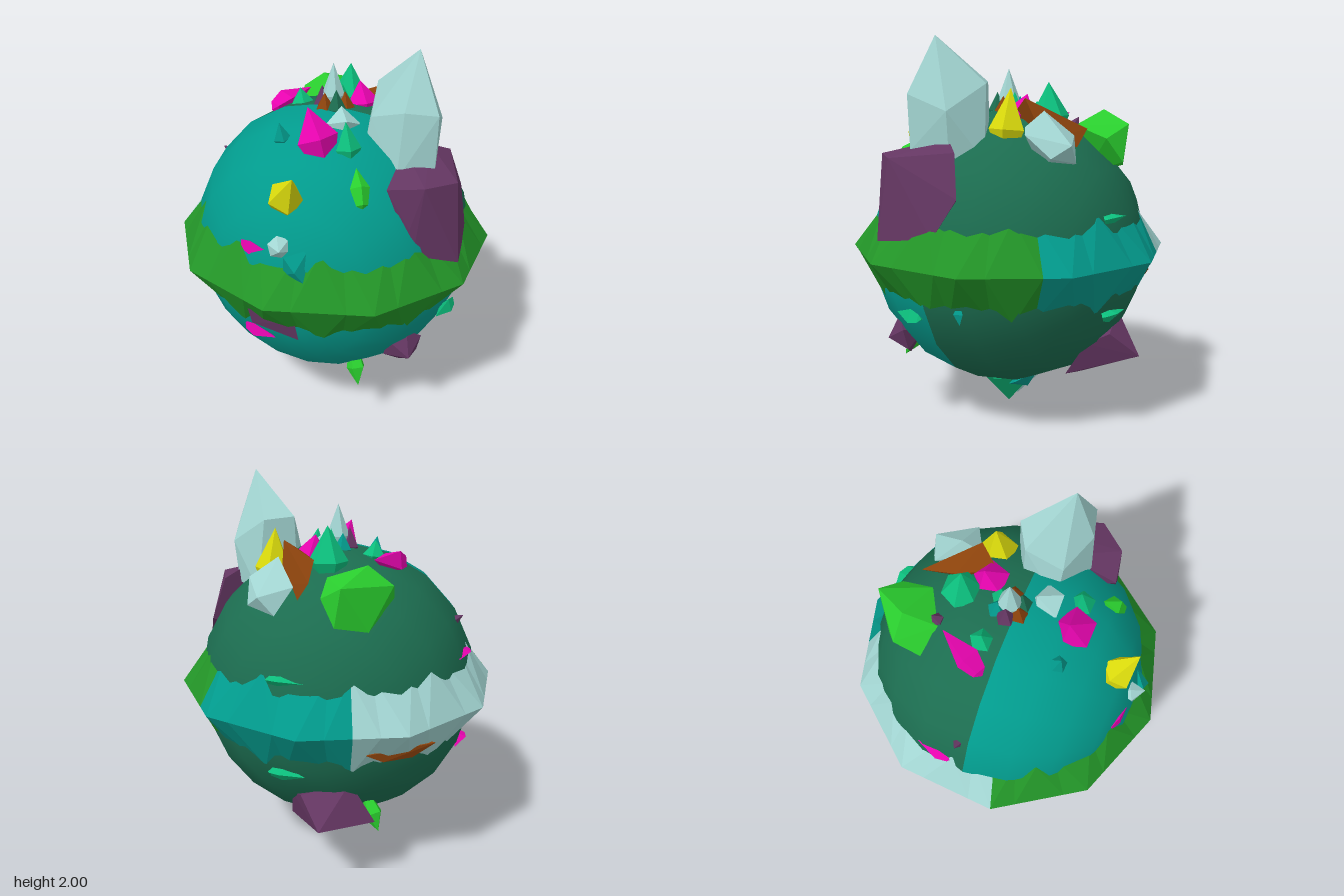
import * as THREE from 'three';
import { ConvexGeometry } from 'three/addons/geometries/ConvexGeometry.js';

const V = (a) => new THREE.Vector3(...a);
const UP = new THREE.Vector3(0, 1, 0);

export function createModel() {
  const model = new THREE.Group();
  const paint = (name, color, flatShading = true) => {
    const m = new THREE.MeshStandardMaterial({ color, flatShading });
    m.name = name;
    return m;
  };
  const teal = paint('teal', 0x029b8d, false);
  const forest = paint('forest green', 0x1c6d50, false);
  const emerald = paint('emerald', 0x0cbf7d);
  const green = paint('leaf green', 0x239628);
  const lime = paint('lime', 0x2ace2e);
  const pale = paint('pale aqua', 0xa3d6d3);
  const plum = paint('plum', 0x643662);
  const magenta = paint('magenta', 0xe804b0);
  const yellow = paint('yellow', 0xdcdc0c);
  const brown = paint('brown', 0x8c430c);

  const add = (name, geometry, material) => {
    const mesh = new THREE.Mesh(geometry, material);
    mesh.name = name;
    model.add(mesh);
    return mesh;
  };
  // Flat normals for crystals that share the smooth teal material
  const facet = (g) => {
    const flat = g.index ? g.toNonIndexed() : g;
    flat.computeVertexNormals();
    return flat;
  };

  // Body: two domes sharing one rim on a slanted vertical plane
  const axis = V([2, 0, -3]).normalize();
  const rim = THREE.MathUtils.degToRad(93);
  for (const [name, mat, from, to] of [['forestDome', forest, 0, rim], ['tealDome', teal, rim, Math.PI]]) {
    const dome = add(name, new THREE.SphereGeometry(0.738, 20, 5, 0, Math.PI * 2, from, to - from), mat);
    dome.quaternion.setFromUnitVectors(UP, axis);
    dome.position.y = 0.91;
  }

  // Faceted ten-sided belt, in three coloured stretches
  const corner = (k, r, y) => V([r * Math.sin(k * Math.PI / 5), y, r * Math.cos(k * Math.PI / 5)]);
  const along = (u, shift, r, y) => {
    const k = Math.floor(u - shift) + shift;
    return corner(k, r, y).lerp(corner(k + 1, r, y), u - k);
  };
  const belt = (name, mat, from, to) => {
    const p = [];
    const tri = (...vs) => vs.forEach((v) => p.push(v.x, v.y, v.z));
    for (let u = from; u < to; u += 0.25) {
      for (const s of [1, -1]) {
        const O = [u, u + 0.25].map((t) => along(t, 0, 0.842, 0.91));
        const I = [u, u + 0.25].map((t) => along(t, 0.5, 0.68, 0.91 + s * 0.25));
        const tris = Math.floor(u * 2) % 2 === 0
          ? [[O[0], O[1], I[1]], [O[0], I[1], I[0]]]
          : [[O[0], O[1], I[0]], [O[1], I[1], I[0]]];
        for (const [a, b, c] of tris) s > 0 ? tri(a, b, c) : tri(a, c, b);
      }
    }
    const g = new THREE.BufferGeometry();
    g.setAttribute('position', new THREE.Float32BufferAttribute(p, 3));
    g.computeVertexNormals();
    add(name, g, mat);
  };
  belt('greenBelt', green, -3, 2.75);
  belt('tealBelt', teal, 2.75, 4.5);
  belt('paleBelt', pale, 4.5, 7);

  // Crystal from a base point to a tip; widest at the given fraction of its length
  const shard = (name, mat, base, tip, r, sides = 5, waist = 0.25, foot = 0.6) => {
    const a = V(base), d = V(tip).sub(a), h = d.length();
    const profile = [[0, -h * 0.2], [r * foot, -h * 0.1], [r, h * waist], [0, h]].map((q) => new THREE.Vector2(...q));
    const mesh = add(name, facet(new THREE.LatheGeometry(profile, sides)), mat);
    mesh.quaternion.setFromUnitVectors(UP, d.normalize());
    mesh.position.copy(a);
  };
  const rock = (name, mat, points) => add(name, facet(new ConvexGeometry(points.map(V))), mat);

  // Large crystals
  rock('tallCrystal', pale, [
    [0.32, 2.0, 0.365], [0.2, 1.78, 0.11], [0.36, 1.77, 0.12], [0.47, 1.64, 0.31], [0.38, 1.72, 0.5],
    [0.23, 1.73, 0.45], [0.12, 1.66, 0.28], [0.08, 1.42, 0.25], [0.19, 1.4, 0.1], [0.4, 1.4, 0.13],
    [0.45, 1.42, 0.3], [0.38, 1.45, 0.49], [0.2, 1.4, 0.46]]);
  rock('plumBoulder', plum, [
    [0.12, 1.41, 0.57], [0.22, 1.22, 0.63], [0.24, 1.08, 0.64], [0.47, 1.02, 0.65], [0.61, 1.05, 0.38],
    [0.62, 1.24, 0.26], [0.54, 1.45, 0.27], [0.42, 1.5, 0.3], [0.28, 1.5, 0.33], [0.28, 1.43, 0.64],
    [0.46, 1.42, 0.59], [0.3, 1.1, 0.3]]);
  rock('limeBoulder', lime, [
    [-0.1, 1.46, -0.46], [-0.04, 1.55, -0.57], [0.06, 1.64, -0.5], [0.24, 1.57, -0.6], [0.29, 1.5, -0.48],
    [0.2, 1.56, -0.34], [0.0, 1.55, -0.35], [0.1, 1.35, -0.6], [0.26, 1.38, -0.57], [0.1, 1.3, -0.4]]);
  rock('plumLowerBackRock', plum, [
    [0.38, 0.3, -0.28], [0.41, 0.47, -0.38], [0.18, 0.58, -0.58], [0.38, 0.39, -0.66], [0.08, 0.38, -0.66],
    [0.2, 0.34, -0.4], [0.35, 0.3, -0.35], [0.41, 0.52, -0.5], [0.15, 0.33, -0.55]]);
  rock('brownRidge', brown, [
    [0.2, 1.62, -0.02], [0.32, 1.7, -0.07], [0.31, 1.55, -0.38], [0.37, 1.5, -0.16],
    [0.22, 1.62, -0.22], [0.35, 1.45, -0.32], [0.25, 1.45, -0.1]]);
  rock('brownBackPatch', brown, [
    [-0.2, 0.8, -0.74], [0.17, 0.8, -0.74], [0.08, 0.75, -0.74], [-0.08, 0.74, -0.73], [0, 0.84, -0.6]]);
  rock('paleSideRock', pale, [
    [0.38, 1.64, -0.16], [0.34, 1.56, -0.07], [0.5, 1.53, -0.06], [0.55, 1.42, -0.18], [0.46, 1.39, -0.31],
    [0.36, 1.52, -0.31], [0.53, 1.48, -0.28], [0.4, 1.35, -0.15]]);
  rock('plumLeftRock', plum, [
    [-0.55, 0.84, 0.53], [-0.5, 0.87, 0.55], [-0.34, 0.78, 0.64], [-0.32, 0.67, 0.63], [-0.53, 0.74, 0.53], [-0.4, 0.75, 0.45]]);

  // Cluster around the top
  shard('topSpike', pale, [0, 1.62, 0], [0, 1.85, 0], 0.06, 6, 0.3);
  for (let i = 0; i < 6; i++) {
    const a = i * Math.PI / 3, x = Math.sin(a), z = Math.cos(a);
    shard('topCluster', [forest, brown, emerald, teal, plum, brown][i],
      [x * 0.06, 1.6, z * 0.06], [x * 0.06, 1.73 - 0.02 * (i % 2), z * 0.06], 0.05);
  }
  shard('topFrontShard', pale, [0, 1.56, 0.2], [0.01, 1.67, 0.13], 0.095);

  // Upper crystals
  shard('magentaFront', magenta, [-0.13, 1.5, 0.31], [-0.18, 1.72, 0.24], 0.105, 5, 0.35);
  shard('emeraldFront', emerald, [-0.01, 1.5, 0.36], [-0.02, 1.67, 0.34], 0.065);
  shard('yellowFront', yellow, [-0.34, 1.33, 0.44], [-0.32, 1.51, 0.57], 0.09);
  shard('limeFront', lime, [0, 1.36, 0.57], [0, 1.49, 0.47], 0.05, 5, 0.4);
  shard('paleFront', pale, [-0.38, 1.16, 0.54], [-0.4, 1.18, 0.63], 0.06, 6);
  rock('tealFront', teal, [
    [-0.38, 1.15, 0.63], [-0.26, 1.17, 0.62], [-0.34, 1.09, 0.68], [-0.28, 1.0, 0.68], [-0.38, 1.04, 0.6], [-0.3, 1.08, 0.55]]);
  shard('tealUpperLeft', teal, [-0.29, 1.52, 0.17], [-0.31, 1.63, 0.18], 0.045);
  shard('yellowRight', yellow, [0.35, 1.48, 0.02], [0.34, 1.75, 0], 0.095);
  shard('emeraldBack', emerald, [0.14, 1.55, -0.21], [0.14, 1.78, -0.2], 0.1, 6);
  shard('magentaTop', magenta, [0.17, 1.57, -0.05], [0.16, 1.72, -0.09], 0.095);
  shard('magentaBack', magenta, [-0.25, 1.57, -0.21], [-0.05, 1.62, -0.33], 0.065, 4);
  shard('emeraldBackLeft', emerald, [-0.13, 1.58, -0.16], [-0.14, 1.68, -0.16], 0.06);
  shard('plumBack', plum, [0.03, 1.54, -0.34], [0.04, 1.6, -0.37], 0.035);
  shard('plumBackLeft', plum, [-0.5, 1.27, -0.35], [-0.54, 1.3, -0.38], 0.025);

  // Lower crystals
  shard('plumLowerFront', plum, [0.24, 0.49, 0.52], [0.25, 0.46, 0.64], 0.11, 6);
  shard('limeLowerFront', lime, [0, 0.42, 0.5], [0, 0.28, 0.58], 0.05, 5, 0.4);
  shard('limeLowerBack', lime, [0.05, 0.41, -0.52], [0.03, 0.28, -0.6], 0.055, 5, 0.4);
  shard('yellowLowerBack', yellow, [-0.38, 0.44, -0.37], [-0.48, 0.36, -0.2], 0.05, 3, 0.4);
  shard('plumLowerBackLeft', plum, [-0.53, 0.46, -0.22], [-0.57, 0.43, -0.25], 0.035);
  shard('bottomSpike', emerald, [0, 0.2, 0], [0, 0, 0], 0.17, 6, 0.08, 0.8);
  shard('bottomPaleShard', pale, [-0.05, 0.2, -0.08], [-0.03, 0.03, -0.05], 0.1, 4);
  shard('bottomTealShard', teal, [0.12, 0.2, -0.07], [0.14, 0.14, -0.1], 0.09, 6);

  // Thin slivers breaking the surface above and below the belt
  for (const y of [1.13, 0.65]) {
    for (const s of [1, -1]) {
      shard('magentaSliver', magenta, [-0.53, y, 0.43 * s], [-0.42, y, 0.56 * s], 0.04, 3);
      if (s < 0 || y < 0.9) shard('emeraldSliver', emerald, [0.53, y, 0.46 * s], [0.41, y, 0.57 * s], 0.04, 3);
    }
  }
  shard('tealSliver', teal, [0.65, 0.72, 0.25], [0.66, 0.65, 0.25], 0.03, 3);
  return model;
}
